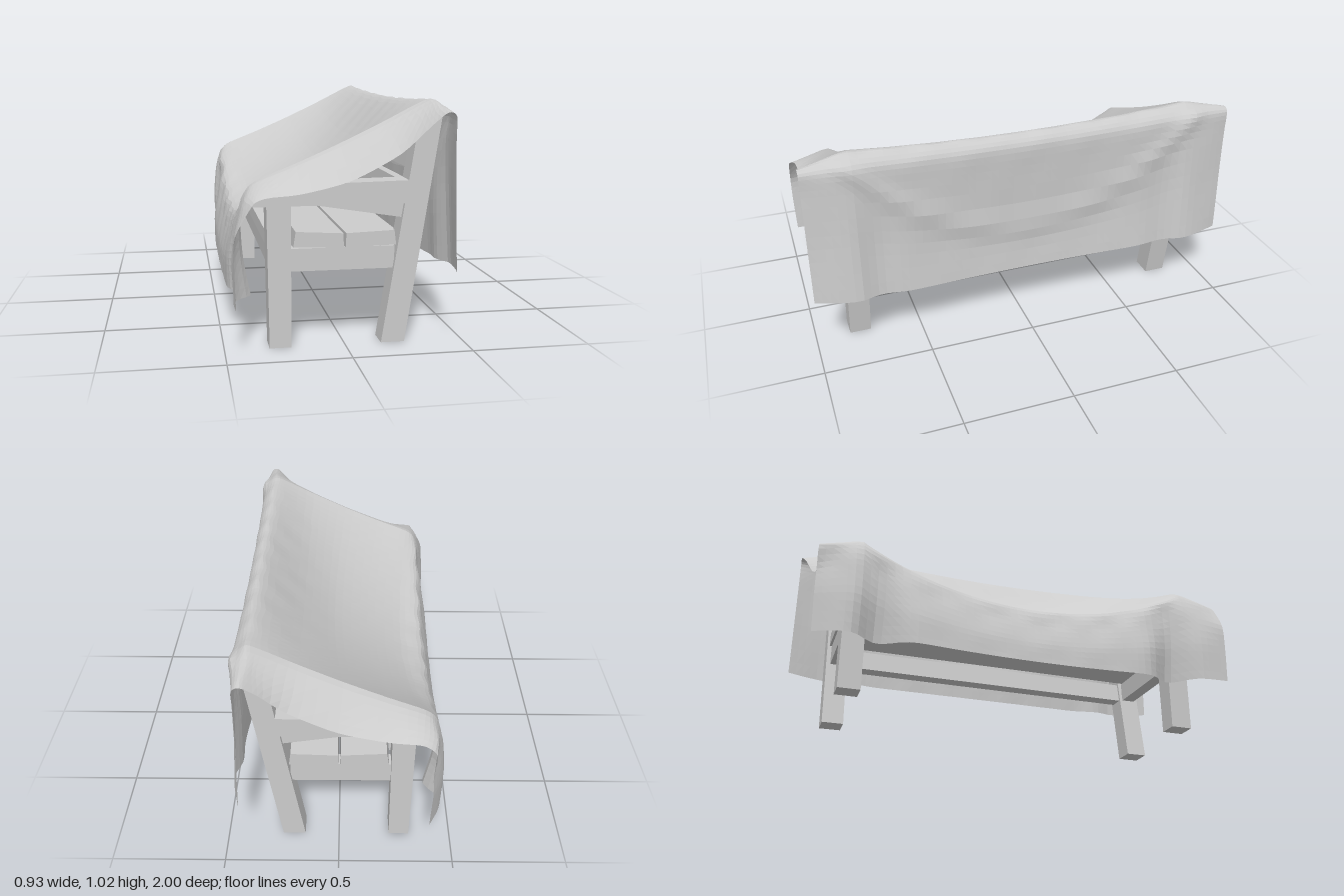
import * as THREE from 'three';

const wood = new THREE.MeshStandardMaterial({ color: 0xcccccc, flatShading: true });
const fabric = new THREE.MeshStandardMaterial({ color: 0xcccccc, flatShading: true, side: THREE.DoubleSide });

// Board cut from an x-y outline, running from z0 to z1
function board(name, outline, z0, z1) {
  const shape = new THREE.Shape(outline.map(([x, y]) => new THREE.Vector2(x, y)));
  const geo = new THREE.ExtrudeGeometry(shape, { depth: z1 - z0, bevelEnabled: false });
  geo.translate(0, 0, z0);
  const mesh = new THREE.Mesh(geo, wood);
  mesh.name = name;
  return mesh;
}

const rect = (x0, x1, y0, y1) => [[x0, y0], [x1, y0], [x1, y1], [x0, y1]];
const bump = (d, width) => Math.exp(-((d / width) ** 2));

// Cloth cross-sections, from the back hem over the crest to the front hem
const sections = {
  edge: [[0.42, 0.33], [0.41, 0.6], [0.405, 0.85], [0.405, 0.95], [0.37, 0.968], [0.315, 0.92], [0.2, 0.808],
    [0, 0.703], [-0.2, 0.655], [-0.34, 0.643], [-0.4, 0.615], [-0.425, 0.5], [-0.43, 0.38], [-0.425, 0.205]],
  ridge: [[0.465, 0.32], [0.445, 0.6], [0.435, 0.85], [0.425, 0.96], [0.37, 1.012], [0.31, 0.995], [0.16, 0.92],
    [-0.02, 0.835], [-0.2, 0.757], [-0.36, 0.692], [-0.415, 0.64], [-0.45, 0.53], [-0.47, 0.38], [-0.465, 0.2]],
  middle: [[0.41, 0.3], [0.4, 0.5], [0.415, 0.8], [0.42, 0.94], [0.38, 0.987], [0.33, 0.965], [0.17, 0.805],
    [0.03, 0.685], [-0.13, 0.583], [-0.3, 0.488], [-0.405, 0.452], [-0.44, 0.36], [-0.465, 0.26], [-0.47, 0.167]],
};
const edgeZ = [1, 1, 1, 1, 1, 0.98, 0.955, 0.95, 0.95, 0.955, 0.98, 0.98, 0.98, 0.975];
const RIDGE = 0.79;

// Curve of the cloth at one position along the bench (v from -1 to 1)
function clothRow(v) {
  const a = Math.abs(v);
  const outer = a > RIDGE;
  const w = outer ? ((a - RIDGE) / (1 - RIDGE)) ** 1.25 : (a / RIDGE) ** 2;
  const from = outer ? sections.ridge : sections.middle;
  const to = outer ? sections.edge : sections.ridge;
  const fold = bump(a - 0.7, 0.09);
  const points = from.map(([x, y], i) => {
    const p = new THREE.Vector3(x + (to[i][0] - x) * w, y + (to[i][1] - y) * w, a);
    if (outer) p.z = RIDGE + (edgeZ[i] - RIDGE) * (a - RIDGE) / (1 - RIDGE);
    // vertical folds where the hanging flaps meet the legs
    if (i > 10) p.x += fold * 0.03 * (i - 10);
    if (i < 3) p.x -= fold * 0.008 * (3 - i);
    // one front corner hangs closer to the leg than the other
    if (i > 10 && outer) p.x -= 0.035 * w * Math.sign(v);
    p.z *= Math.sign(v);
    return p;
  });
  return new THREE.CatmullRomCurve3(points, false, 'catmullrom', 0.4);
}

function makeCloth() {
  const nu = 52, nv = 56;
  const geo = new THREE.PlaneGeometry(1, 1, nu, nv);
  const pos = geo.attributes.position;
  for (let j = 0; j <= nv; j++) {
    const row = clothRow(1 - 2 * j / nv);
    for (let i = 0; i <= nu; i++) {
      const p = row.getPoint(i / nu);
      const s = i / nu * 13;
      // crumples, strongest along the two crests
      const crumple = 0.001 + 0.005 * (bump(s - 5, 1) + bump(s - 10, 1));
      const wave = Math.sin(j * 1.25 + i * 0.5) + 0.7 * Math.sin(j * 0.83 - i * 0.9 + 1);
      // sagging U-shaped fold across the back flap
      const swag = s < 3.5 ? 0.012 * bump(p.y - 0.53 - 0.66 * p.z * p.z, 0.06) : 0;
      pos.setXYZ(j * (nu + 1) + i, p.x + swag + crumple * wave * 0.7, p.y + crumple * wave * 0.4, p.z);
    }
  }
  geo.computeVertexNormals();
  const mesh = new THREE.Mesh(geo, fabric);
  mesh.name = 'drapedCloth';
  return mesh;
}

export function createModel() {
  const model = new THREE.Group();
  const bench = new THREE.Group();
  bench.name = 'bench';

  // End frames: legs, arm, brace under the arm and side rail
  for (const side of [-1, 1]) {
    const part = (name, outline, near, far) =>
      bench.add(board(name, outline, Math.min(side * near, side * far), Math.max(side * near, side * far)));
    part('frontLeg', [[-0.315, 0], [-0.225, 0], [-0.225, 0.6], [-0.325, 0.6]], 0.74, 0.84);
    part('backLeg', [[0.153, 0], [0.253, 0], [0.402, 0.968], [0.365, 0.985], [0.325, 0.95], [0.292, 0.87]], 0.74, 0.84);
    part('armrest', [[-0.4, 0.59], [0.25, 0.59], [0.265, 0.685], [-0.11, 0.678], [-0.25, 0.648], [-0.4, 0.635]], 0.735, 0.845);
    part('armBrace', [[-0.14, 0.59], [0.24, 0.528], [0.25, 0.59]], 0.76, 0.82);
    part('sideRail', rect(-0.23, 0.21, 0.315, 0.41), 0.755, 0.82);
  }

  // Long rails under the seat
  bench.add(board('frontRail', rect(-0.305, -0.235, 0.315, 0.41), -0.76, 0.76));
  bench.add(board('backRail', [[0.215, 0.315], [0.285, 0.315], [0.3, 0.41], [0.23, 0.41]], -0.76, 0.76));

  // Seat slats
  bench.add(board('seatSlat', [[-0.318, 0.412], [-0.218, 0.415], [-0.212, 0.472], [-0.315, 0.465]], -0.735, 0.735));
  bench.add(board('seatSlat', [[-0.215, 0.418], [-0.005, 0.41], [-0.008, 0.47], [-0.205, 0.482]], -0.83, 0.83));
  bench.add(board('seatSlat', [[0.002, 0.41], [0.215, 0.416], [0.207, 0.477], [0.005, 0.47]], -0.83, 0.83));

  // Backrest boards set between the slanted legs
  for (const y of [0.55, 0.71, 0.87]) {
    const x = 0.253 + 0.153 * y;
    bench.add(board('backSlat', [[x - 0.05, y], [x - 0.01, y], [x + 0.005, y + 0.095], [x - 0.035, y + 0.095]], -0.75, 0.75));
  }

  model.add(bench, makeCloth());
  return model;
}
